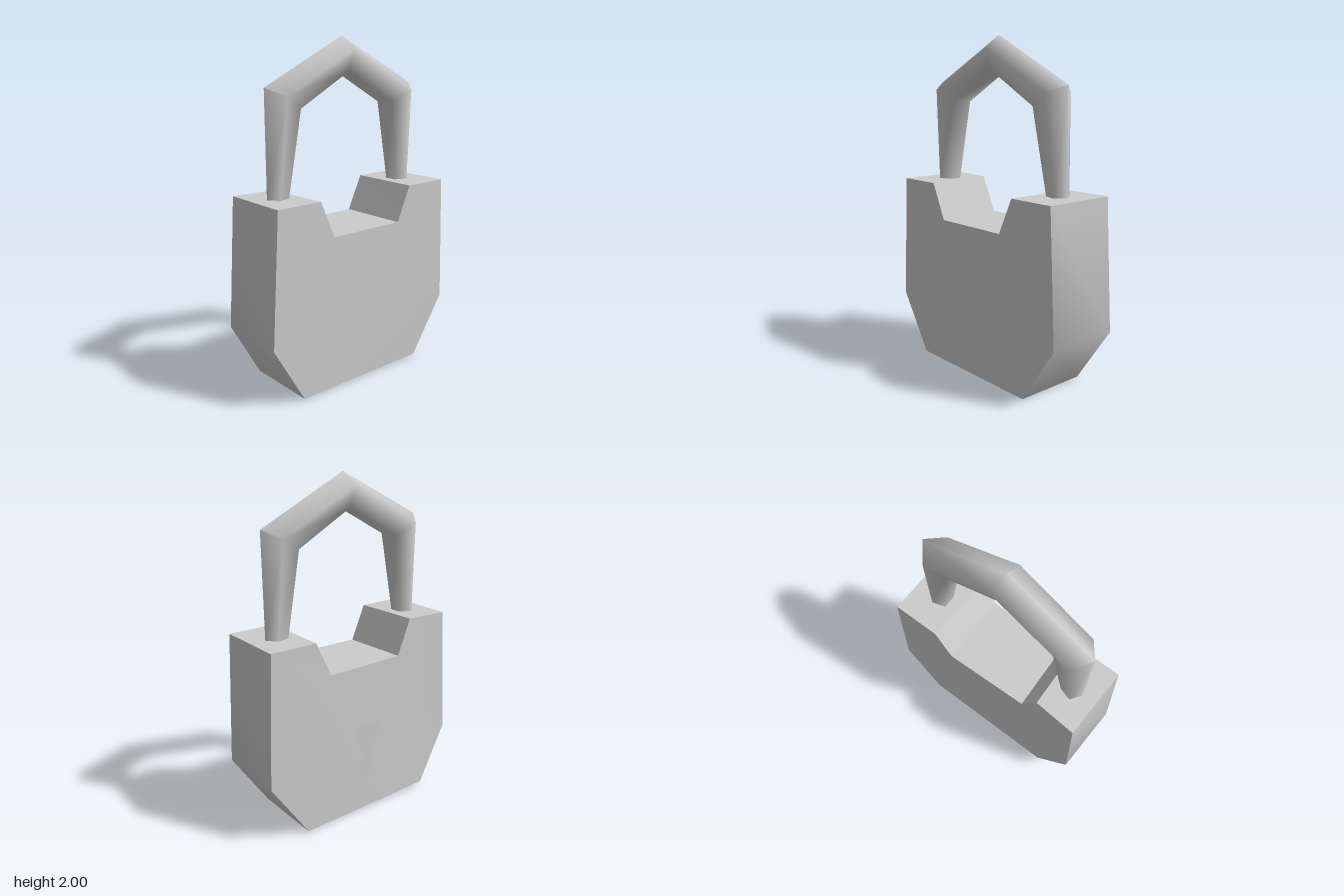
import * as THREE from 'three';
import { toCreasedNormals } from 'three/addons/utils/BufferGeometryUtils.js';

// Closed skin through rings of [x, y, z] points; each ring is counter-clockwise
// seen from the start of the loft. flat() projects a point for capping.
function loft(rings, flat, creaseAngle) {
  const n = rings[0].length;
  const index = [];
  for (let r = 0; r < rings.length - 1; r++) {
    for (let i = 0; i < n; i++) {
      const j = (i + 1) % n;
      const a = r * n + i, b = r * n + j, c = b + n, d = a + n;
      index.push(b, a, d, b, d, c);
    }
  }
  const cap = (ring, base, reverse) => {
    const pts = ring.map(flat);
    const sign = Math.sign(THREE.ShapeUtils.area(pts));
    for (const [a, b, c] of THREE.ShapeUtils.triangulateShape(pts.slice(), [])) {
      const same = Math.sign(THREE.ShapeUtils.area([pts[a], pts[b], pts[c]])) === sign;
      if (same !== reverse) index.push(base + a, base + b, base + c);
      else index.push(base + a, base + c, base + b);
    }
  };
  cap(rings[0], 0, false);
  cap(rings[rings.length - 1], (rings.length - 1) * n, true);

  const geometry = new THREE.BufferGeometry();
  geometry.setAttribute('position', new THREE.Float32BufferAttribute(rings.flat(2), 3));
  geometry.setIndex(index);
  return toCreasedNormals(geometry, creaseAngle);
}

export function createModel() {
  const group = new THREE.Group();
  const material = new THREE.MeshStandardMaterial({ color: 0xcccccc });
  const add = (name, geometry, mat = material) => {
    const mesh = new THREE.Mesh(geometry, mat);
    mesh.name = name;
    group.add(mesh);
  };

  // Lock body: notched slab, its two side outlines slightly irregular
  const rightSide = [
    [-0.23, 0.01, 0.46], [-0.222, 0.36, 0.66], [-0.21, 1.13, 0.62], [-0.19, 1.13, 0.36],
    [-0.195, 0.915, 0.265], [-0.21, 0.915, -0.255], [-0.21, 1.125, -0.355],
    [-0.21, 1.125, -0.645], [-0.222, 0.35, -0.68], [-0.228, 0, -0.44],
  ];
  const leftSide = [
    [0.216, 0.01, 0.47], [0.222, 0.36, 0.678], [0.225, 1.13, 0.635], [0.225, 1.13, 0.348],
    [0.225, 0.915, 0.252], [0.23, 0.915, -0.248], [0.23, 1.125, -0.345],
    [0.232, 1.125, -0.635], [0.226, 0.35, -0.667], [0.22, 0, -0.43],
  ];
  add('lockBody', loft([rightSide, leftSide], ([, y, z]) => new THREE.Vector2(z, y), 0.65));

  // Shackle: five-sided bar, ridge outward, thicker at the bends than at the feet
  const section = ([cx, halfWidth, zOut, yOut, zIn, yIn]) =>
    [[0, 0], [-1, 0.382], [-0.618, 1], [0.618, 1], [1, 0.382]].map(([s, t]) => [
      cx + s * halfWidth,
      THREE.MathUtils.lerp(yOut, yIn, t),
      THREE.MathUtils.lerp(zOut, zIn, t),
    ]);
  const sections = [
    [0, 0.063, 0.54, 1.12, 0.42, 1.12],
    [-0.003, 0.104, 0.54, 1.73, 0.345, 1.615],
    [0.005, 0.105, 0, 2, 0, 1.805],
    [0.012, 0.102, -0.545, 1.725, -0.345, 1.61],
    [0, 0.063, -0.545, 1.12, -0.42, 1.12],
  ];
  add('shackle', loft(sections.map(section), ([x, , z]) => new THREE.Vector2(x, z), 1.4));

  // Keyhole: thin hourglass plate just off the right side
  const outline = [
    [-0.12, 0.56], [0.095, 0.55], [0.025, 0.355], [0.065, 0.2], [-0.09, 0.2], [-0.045, 0.37],
  ].map(([z, y]) => new THREE.Vector2(z, y));
  const keyhole = new THREE.ShapeGeometry(new THREE.Shape(outline));
  keyhole.rotateY(-Math.PI / 2).translate(-0.236, 0, 0);
  add('keyhole', keyhole, new THREE.MeshStandardMaterial({ color: 0xcccccc, side: THREE.DoubleSide }));

  return group;
}
